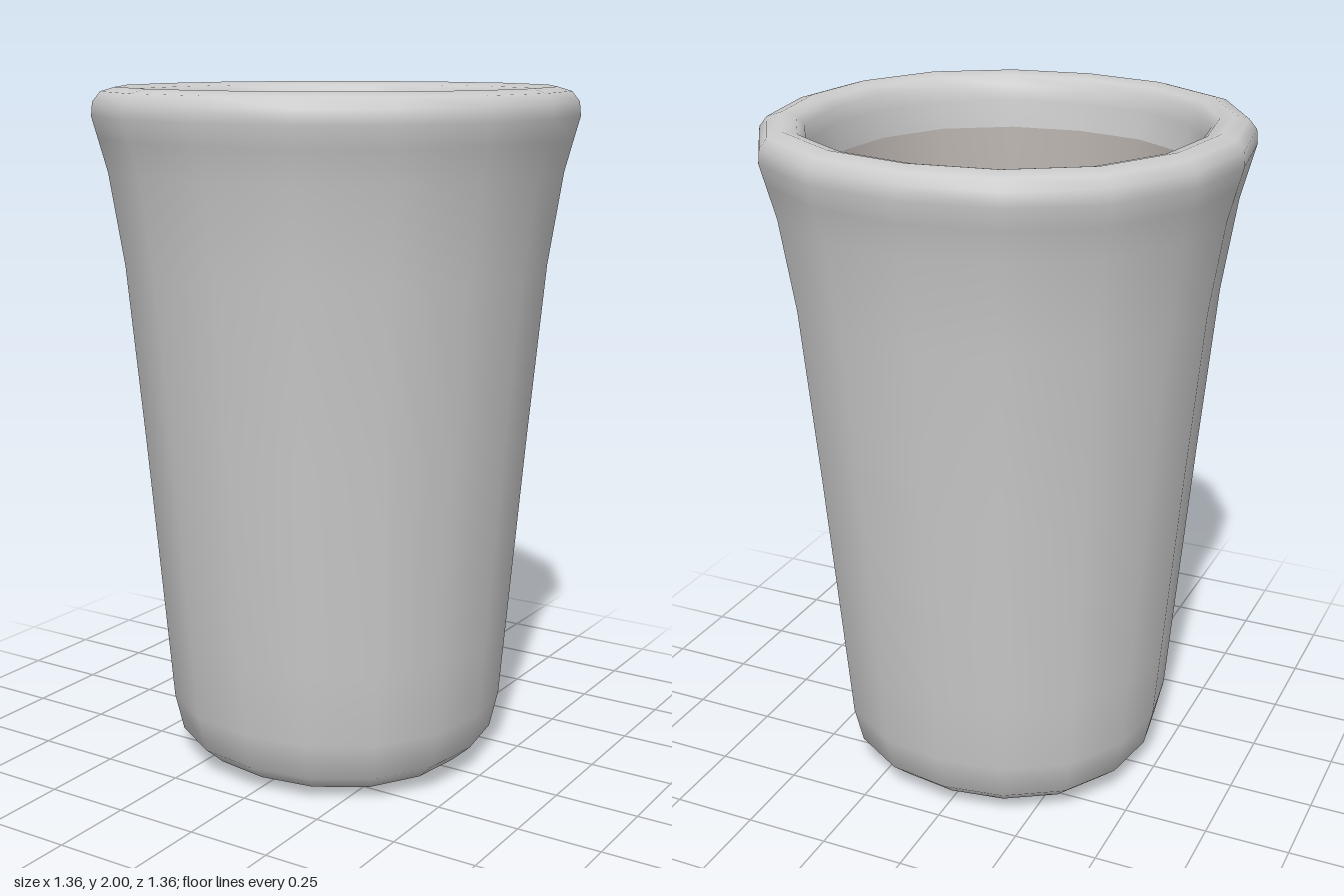
import * as THREE from 'three';
import { mergeVertices } from 'three/addons/utils/BufferGeometryUtils.js';

const SIDES = 16;

// Smooth 16-sided turned surface, very slightly fuller on the diagonals
function turned(name, profile, color) {
  const points = profile.map(([r, y]) => new THREE.Vector2(r, y));
  let geometry = new THREE.LatheGeometry(points, SIDES);
  const pos = geometry.attributes.position;
  for (let i = 0; i < pos.count; i++) {
    const x = pos.getX(i), z = pos.getZ(i);
    const s = 1 + 0.03 * Math.sin(2 * Math.atan2(z, x)) ** 2;
    pos.setX(i, x * s);
    pos.setZ(i, z * s);
  }
  // Weld the seam so the shading runs smoothly all round
  geometry.deleteAttribute('uv');
  geometry.deleteAttribute('normal');
  geometry = mergeVertices(geometry, 1e-4);
  geometry.computeVertexNormals();
  const material = new THREE.MeshStandardMaterial({ color, side: THREE.DoubleSide });
  const mesh = new THREE.Mesh(geometry, material);
  mesh.name = name;
  return mesh;
}

export function createModel() {
  const cup = new THREE.Group();
  cup.name = 'cup';

  // Base, tapered wall and rolled rim, from the bottom centre up and over the lip
  cup.add(turned('outerWallAndRim', [
    [0, 0], [0.22, 0.01], [0.41, 0.03], [0.465, 0.08], [0.49, 0.19],
    [0.507, 0.4], [0.556, 1.0], [0.6, 1.5], [0.64, 1.765], [0.665, 1.86],
    [0.681, 1.92], [0.677, 1.96], [0.655, 1.988], [0.615, 2.0],
    [0.575, 1.99], [0.553, 1.965], [0.545, 1.92], [0.535, 1.84],
  ], 0xcccccc));

  // Inside wall and rounded floor, from the lip down to the centre
  cup.add(turned('inside', [
    [0.535, 1.84], [0.52, 1.65], [0.475, 1.0], [0.435, 0.4],
    [0.415, 0.22], [0.36, 0.13], [0.2, 0.1], [0, 0.09],
  ], 0xb8b1ad));

  return cup;
}
